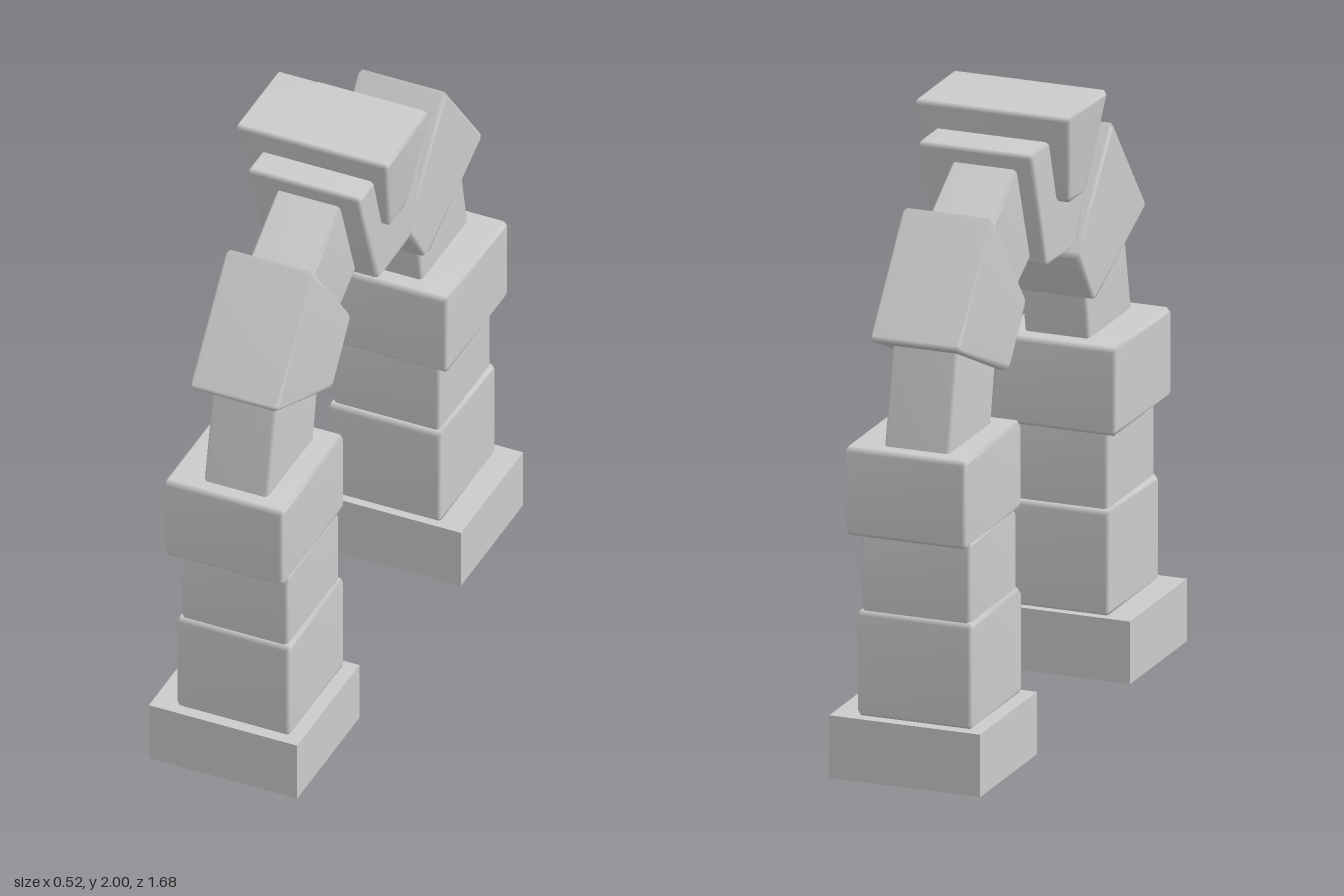
import * as THREE from 'three';
import { mergeVertices } from 'three/addons/utils/BufferGeometryUtils.js';

const material = new THREE.MeshStandardMaterial({ color: 0xcccccc });
const openMaterial = new THREE.MeshStandardMaterial({ color: 0xcccccc, side: THREE.DoubleSide });
const BEVEL = 0.01;

// Stone with a [z, y] outline, running from x0 to x1, all edges softened
function stone(name, outline, x0, x1) {
  const points = outline.map(([z, y]) => new THREE.Vector2(z, y));
  const n = points.length;
  const cut = [];
  points.forEach((p, i) => {
    for (const q of [points[(i + n - 1) % n], points[(i + 1) % n]]) {
      cut.push(q.clone().sub(p).setLength(BEVEL * 1.6).add(p));
    }
  });
  let geometry = new THREE.ExtrudeGeometry(new THREE.Shape(cut), {
    depth: x1 - x0 - 2 * BEVEL,
    bevelThickness: BEVEL,
    bevelSize: BEVEL,
    bevelOffset: -BEVEL,
    bevelSegments: 1,
  });
  geometry.rotateY(-Math.PI / 2);
  geometry.translate(x1 - BEVEL, 0, 0);
  // Shared vertices give the soft shading across the edges
  geometry.deleteAttribute('normal');
  geometry.deleteAttribute('uv');
  geometry = mergeVertices(geometry, 1e-5);
  geometry.computeVertexNormals();
  const mesh = new THREE.Mesh(geometry, material);
  mesh.name = name;
  return mesh;
}

const block = (name, z0, z1, y0, y1, x0, x1) =>
  stone(name, [[z0, y0], [z1, y0], [z1, y1], [z0, y1]], x0, x1);

// Plinth, hollow and open underneath
function plinth() {
  const geometry = new THREE.BoxGeometry(0.506, 0.204, 0.462);
  const index = Array.from(geometry.index.array);
  index.splice(18, 6);
  geometry.setIndex(index);
  geometry.clearGroups();
  geometry.translate(0, 0.102, 0.609);
  const mesh = new THREE.Mesh(geometry, openMaterial);
  mesh.name = 'plinth';
  return mesh;
}

// One pillar with its half of the curved arch
function archHalf(name) {
  const half = new THREE.Group();
  half.name = name;
  half.add(
    plinth(),
    block('lowerPillarBlock', 0.395, 0.812, 0.2, 0.548, -0.172, 0.21),
    block('upperPillarBlock', 0.412, 0.798, 0.53, 0.81, -0.162, 0.2),
    block('capital', 0.378, 0.842, 0.797, 1.087, -0.202, 0.202),
    stone('springerStone', [[0.45, 1.04], [0.798, 1.04], [0.705, 1.49], [0.4, 1.3]], -0.09, 0.127),
    stone('haunchStone', [[0.37, 1.235], [0.792, 1.427], [0.512, 1.785], [0.226, 1.425]], -0.14, 0.158),
    stone('upperArchStone', [[0.28, 1.44], [0.5, 1.685], [0.22, 1.86], [0.11, 1.53]], -0.09, 0.127),
  );
  return half;
}

export function createModel() {
  const arch = new THREE.Group();
  arch.name = 'stoneArch';

  // The rear half is the front half turned around the vertical axis
  const rear = archHalf('rearHalf');
  rear.rotation.y = Math.PI;
  arch.add(archHalf('frontHalf'), rear);

  // Keystone with a wider wedge on top
  arch.add(stone('keystone', [[-0.12, 1.5], [0.125, 1.5], [0.268, 1.906], [-0.258, 1.906]], -0.182, 0.2));
  const wedge = stone('keystoneWedge', [[-0.043, 1.69], [0.093, 1.69], [0.19, 2], [-0.14, 2]], -0.26, 0.26);
  const position = wedge.geometry.attributes.position;
  for (let i = 0; i < position.count; i++) {
    const t = (2 - position.getY(i)) / 0.31;
    position.setX(i, position.getX(i) * (1 - 0.14 * t));
  }
  wedge.geometry.computeVertexNormals();
  arch.add(wedge);
  return arch;
}
